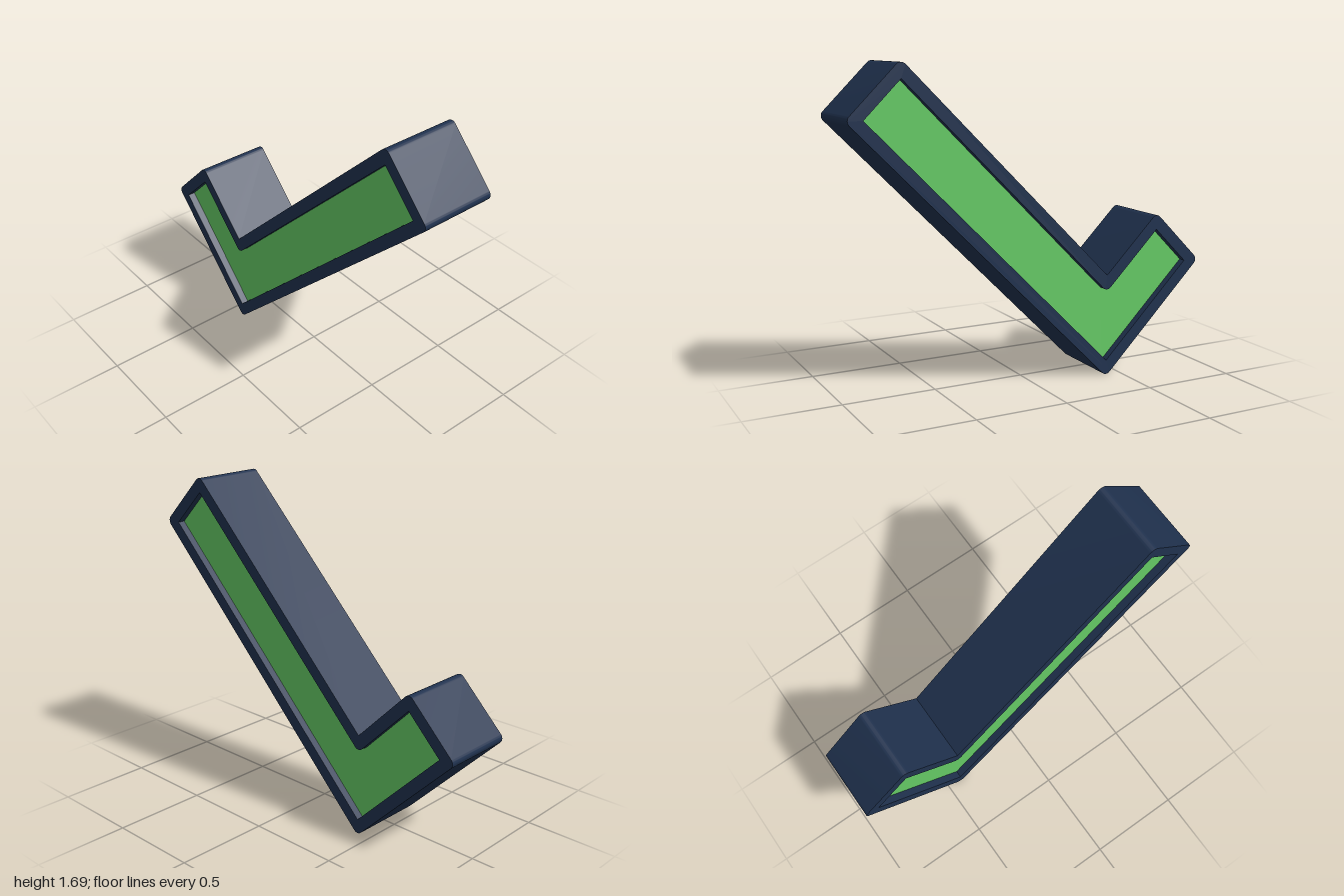
import * as THREE from 'three';
import { toCreasedNormals } from 'three/addons/utils/BufferGeometryUtils.js';

const R = 0.032;      // half width of the border
const ARM = 0.2355;   // half diagonal of the arms
const DEPTH = 0.4;
const RECESS = 0.04;

// Centre line of the border, counter-clockwise; every corner is square
const bottom = new THREE.Vector2(-0.42, R);
const at = (dx, dy) => new THREE.Vector2(bottom.x + dx, bottom.y + dy);
const LONG = 1.388, SHORT = 0.548;
const corners = [
  bottom,
  at(LONG, LONG),
  at(LONG - ARM, LONG + ARM),
  at(0, 2 * ARM),
  at(ARM - SHORT, SHORT + ARM),
  at(-SHORT, SHORT),
];

// Offsets the centre line to one side (+1 out, -1 in) with round joins
function offset(side) {
  const out = [];
  corners.forEach((p, i) => {
    const prev = corners[(i + 5) % 6], next = corners[(i + 1) % 6];
    const e0 = p.clone().sub(prev).normalize();
    const e1 = next.clone().sub(p).normalize();
    const n0 = new THREE.Vector2(e0.y, -e0.x).multiplyScalar(side * R);
    const n1 = new THREE.Vector2(e1.y, -e1.x).multiplyScalar(side * R);
    if (e0.cross(e1) * side > 0) {
      const steps = 10;
      for (let k = 0; k <= steps; k++) {
        const a = (k / steps) * Math.PI / 2;
        out.push(p.clone().addScaledVector(n0, Math.cos(a)).addScaledVector(n1, Math.sin(a)));
      }
    } else {
      out.push(p.clone().add(n0).add(n1));
    }
  });
  return out;
}

function extrude(shape, depth) {
  const geo = new THREE.ExtrudeGeometry(shape, { depth, bevelEnabled: false });
  geo.translate(0, 0, -depth / 2);
  return toCreasedNormals(geo, 0.6);
}

export function createModel() {
  const group = new THREE.Group();
  group.name = 'checkMark';

  // Raised border running through the full depth
  const rim = new THREE.Shape(offset(1));
  rim.holes.push(new THREE.Path(offset(-1)));
  const border = new THREE.Mesh(
    extrude(rim, DEPTH),
    new THREE.MeshStandardMaterial({ color: 0x20324f })
  );
  border.name = 'border';

  // Filling, sunk below the border on front and back
  const filling = new THREE.Mesh(
    extrude(new THREE.Shape(offset(-1)), DEPTH - 2 * RECESS),
    new THREE.MeshStandardMaterial({ color: 0x66cc66 })
  );
  filling.name = 'filling';

  group.add(border, filling);
  return group;
}
